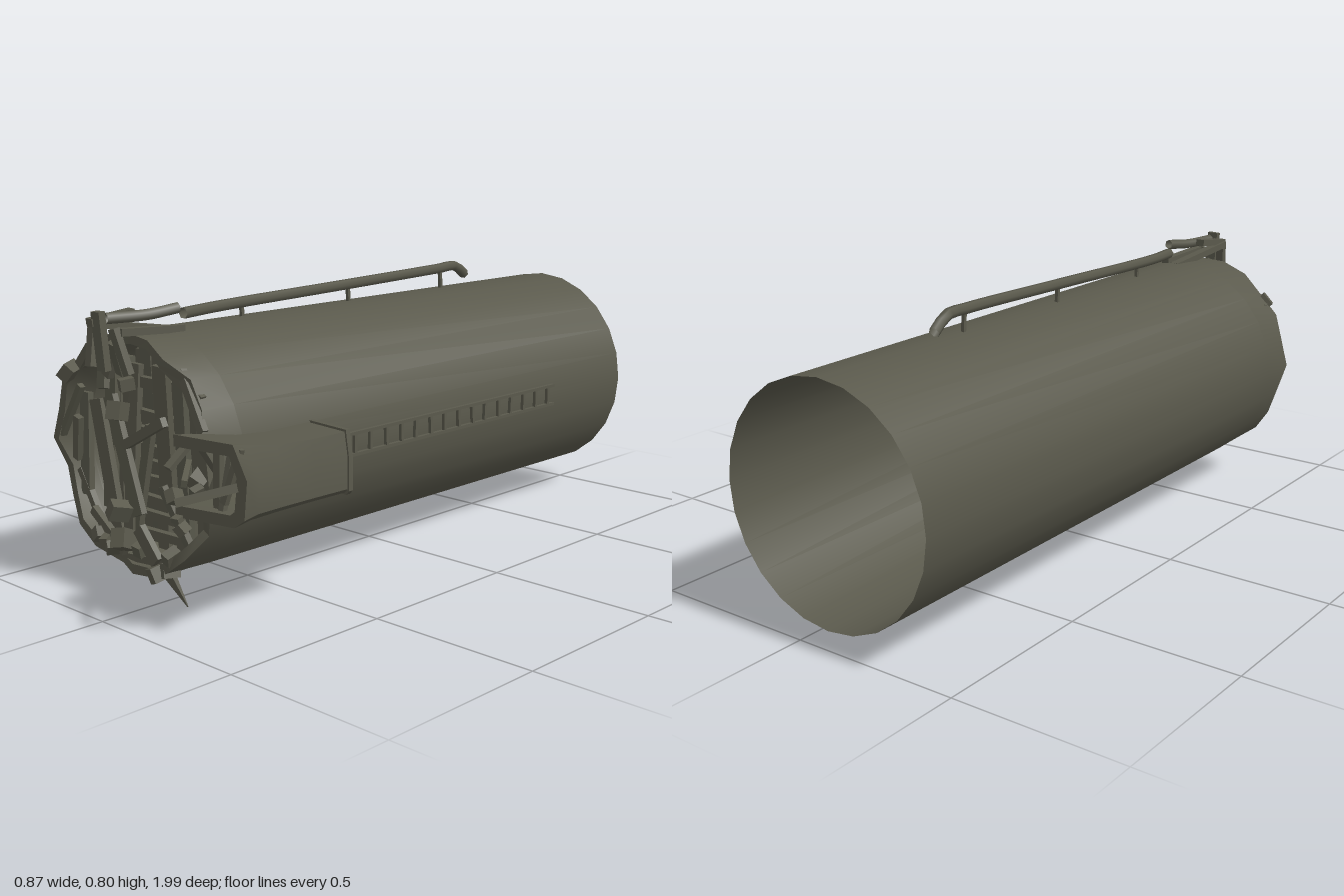
import * as THREE from 'three';
import { toCreasedNormals } from 'three/addons/utils/BufferGeometryUtils.js';

const CX = -0.102, CY = 0.388, R = 0.332;
const V = (x, y, z) => new THREE.Vector3(x, y, z);

export function createModel() {
  const model = new THREE.Group();
  const metal = new THREE.MeshStandardMaterial({ color: 0x5a594c, side: THREE.DoubleSide });
  metal.name = 'weatheredMetal';

  let seed = 7;
  const rnd = (a, b) => {
    seed = (seed * 16807) % 2147483647;
    return a + (b - a) * (seed / 2147483647);
  };

  function add(geometry, name, parent = model) {
    const mesh = new THREE.Mesh(geometry, metal);
    mesh.name = name;
    parent.add(mesh);
    return mesh;
  }

  function group(name) {
    const g = new THREE.Group();
    g.name = name;
    model.add(g);
    return g;
  }

  // Skin through closed rings of points; channel caps join outer and inner halves
  function loft(rings, capped) {
    const pos = [], idx = [], n = rings[0].length;
    rings.forEach(r => r.forEach(p => pos.push(p.x, p.y, p.z)));
    const quad = (a, b, c, d) => idx.push(a, b, c, a, c, d);
    for (let i = 0; i < rings.length - 1; i++)
      for (let j = 0; j < n; j++) {
        const k = (j + 1) % n;
        quad(i * n + j, i * n + k, (i + 1) * n + k, (i + 1) * n + j);
      }
    if (capped) for (let j = 0; j < n / 2 - 1; j++) {
      const f = (rings.length - 1) * n;
      quad(f + j, f + j + 1, f + n - 2 - j, f + n - 1 - j);
      quad(n - 1 - j, n - 2 - j, j + 1, j);
    }
    const g = new THREE.BufferGeometry();
    g.setAttribute('position', new THREE.Float32BufferAttribute(pos, 3));
    g.setIndex(idx);
    return toCreasedNormals(g, 0.6);
  }

  // Box beam from a to b: w across the front plane, t in depth, taper narrows the far end
  function bar(a, b, w, t, name, parent, taper = 1) {
    const dir = b.clone().sub(a), len = dir.length();
    dir.normalize();
    const ref = Math.abs(dir.z) > 0.9 ? V(0, 1, 0) : V(0, 0, 1);
    const side = dir.clone().cross(ref).normalize();
    const depth = side.clone().cross(dir);
    const g = new THREE.BoxGeometry(w, len, t);
    const p = g.attributes.position;
    for (let i = 0; i < p.count; i++)
      if (p.getY(i) > 0) p.setXYZ(i, p.getX(i) * taper, p.getY(i), p.getZ(i) * taper);
    g.computeVertexNormals();
    g.applyMatrix4(new THREE.Matrix4().makeBasis(side, dir, depth));
    g.translate((a.x + b.x) / 2, (a.y + b.y) / 2, (a.z + b.z) / 2);
    return add(g, name, parent);
  }

  // Main hull: open at the back, torn thick lip at the front
  const N = 24;
  const torn = Array.from({ length: N }, () => rnd(0.785, 0.84));
  const ring = (r, z, wobble = 0) => torn.map((edge, i) => {
    const a = i / N * Math.PI * 2;
    const rr = r + wobble * Math.sin(i * 2.7);
    return V(CX + rr * Math.cos(a), CY + rr * Math.sin(a), z === null ? edge : z);
  });
  add(loft([ring(R, -1), ring(R, 0.7), ring(R - 0.002, null, 0.004),
    ring(R - 0.028, null, 0.006), ring(R - 0.024, 0.72)]), 'hull');

  // Wreckage plugging the front: backing layer of upright beams
  const debris = group('frontDebris');
  for (let x = -0.355; x < 0.16; x += 0.047) {
    const h = Math.sqrt(0.3 ** 2 - (x - CX) ** 2) * 0.97;
    const s = rnd(-0.012, 0.012);
    bar(V(x - s, CY - h, rnd(0.66, 0.7)), V(x + s, CY + h * 0.96, rnd(0.66, 0.7)), 0.046, 0.02, 'backBeam', debris);
  }
  // Cross rungs
  for (const y of [0.15, 0.2, 0.24, 0.3, 0.34, 0.38, 0.43, 0.47, 0.57])
    bar(V(-0.18, y + rnd(-0.01, 0.02), 0.73), V(0.02, y, 0.72), rnd(0.018, 0.035), 0.02, 'crossBeam', debris);
  // Front planks: x0, y0, x1, y1, width, depth position
  [
    [-0.23, 0.53, -0.1, 0.22, 0.045, 0.79], [-0.3, 0.51, -0.22, 0.15, 0.05, 0.78],
    [-0.36, 0.52, -0.35, 0.23, 0.04, 0.77], [0, 0.64, -0.02, 0.28, 0.055, 0.77],
    [0.06, 0.63, 0.04, 0.16, 0.04, 0.76], [0.11, 0.59, 0.13, 0.22, 0.035, 0.77],
    [-0.17, 0.62, -0.18, 0.11, 0.04, 0.75], [-0.27, 0.6, -0.28, 0.2, 0.045, 0.75],
    [-0.1, 0.46, -0.17, 0.12, 0.03, 0.76], [0.03, 0.5, -0.17, 0.4, 0.026, 0.8],
    [-0.06, 0.2, 0.01, 0.12, 0.04, 0.81], [0.16, 0.48, 0.18, 0.3, 0.035, 0.77],
    [-0.41, 0.4, -0.32, 0.55, 0.018, 0.8], [-0.36, 0.58, -0.23, 0.67, 0.02, 0.81],
    [0.02, 0.65, 0.16, 0.57, 0.03, 0.8], [0.09, 0.64, 0.2, 0.5, 0.025, 0.81],
    [-0.18, 0.09, 0.06, 0.12, 0.02, 0.8], [-0.3, 0.2, -0.15, 0.11, 0.025, 0.8],
    [-0.22, 0.66, -0.2, 0.56, 0.035, 0.81], [-0.38, 0.3, -0.27, 0.14, 0.02, 0.79],
    [0.03, 0.33, 0.1, 0.17, 0.022, 0.8], [-0.34, 0.46, -0.38, 0.33, 0.025, 0.81],
  ].forEach(([x0, y0, x1, y1, w, z]) =>
    bar(V(x0, y0, z + rnd(-0.02, 0.02)), V(x1, y1, z + rnd(-0.02, 0.02)), w, 0.018, 'plank', debris));
  // Loose chunks around the rim
  [
    [-0.34, 0.59, 0.03], [-0.13, 0.51, 0.033], [-0.15, 0.23, 0.032], [-0.14, 0.15, 0.036],
    [-0.18, 0.12, 0.022], [0.1, 0.32, 0.024], [0.16, 0.37, 0.028], [0.19, 0.35, 0.018],
    [0.07, 0.15, 0.024], [-0.07, 0.14, 0.024], [0.01, 0.09, 0.028], [-0.25, 0.14, 0.024],
    [0.13, 0.24, 0.02], [-0.12, 0.58, 0.022], [-0.22, 0.13, 0.02], [0.04, 0.1, 0.026],
  ].forEach(([x, y, s]) => {
    const m = add(new THREE.BoxGeometry(s * 1.2, s * 1.5, s * 1.8), 'chunk', debris);
    m.position.set(x, y, rnd(0.8, 0.835));
    m.rotation.set(rnd(-0.5, 0.5), rnd(-0.5, 0.5), rnd(-0.8, 0.8));
  });
  // Hanging spike below the rim
  bar(V(0.02, 0.11, 0.81), V(0.079, 0.002, 0.782), 0.042, 0.02, 'hangingSpike', debris, 0.08);

  // Long roof pipe, its posts and the broken-off front end
  const roof = group('roofPipe');
  const pipe = (pts, r, name) => add(new THREE.TubeGeometry(
    new THREE.CatmullRomCurve3(pts, false, 'centripetal'), 32, r, 6), name, roof);
  pipe([V(-0.13, 0.75, -0.6), V(-0.122, 0.783, -0.54), V(-0.112, 0.782, -0.45), V(-0.108, 0.77, 0),
    V(-0.106, 0.757, 0.5), V(-0.088, 0.754, 0.635)], 0.016, 'longPipe');
  pipe([V(-0.065, 0.775, 0.67), V(-0.08, 0.765, 0.76), V(-0.1, 0.765, 0.88)], 0.015, 'brokenPipe');
  for (const z of [0.41, -0.02, -0.45])
    bar(V(-0.108, 0.705, z - 0.005), V(-0.108, 0.77, z), 0.01, 0.01, 'pipePost', roof);
  [
    [-0.105, 0.785, 0.9, -0.1, 0.63, 0.89, 0.035], [-0.14, 0.74, 0.89, -0.13, 0.64, 0.91, 0.025],
    [-0.08, 0.74, 0.87, -0.05, 0.62, 0.85, 0.025], [-0.12, 0.7, 0.83, -0.17, 0.6, 0.83, 0.03],
    [-0.14, 0.75, 0.9, -0.1, 0.71, 0.65, 0.028], [-0.07, 0.73, 0.86, -0.06, 0.72, 0.66, 0.025],
    [-0.12, 0.77, 0.78, -0.13, 0.755, 0.91, 0.03], [-0.1, 0.7, 0.86, -0.12, 0.61, 0.82, 0.03],
  ].forEach(([a, b, c, d, e, f, w]) => bar(V(a, b, c), V(d, e, f), w, 0.02, 'roofShard', roof));

  // Ladder along the left flank
  const ladder = group('sideLadder');
  for (const y of [0.36, 0.42])
    bar(V(0.238, y, -0.61), V(0.238, y, 0.46), 0.012, 0.009, 'ladderRail', ladder);
  for (let i = 0; i < 17; i++) {
    const z = -0.58 + i * 0.0635;
    bar(V(0.238, 0.36, z + rnd(-0.006, 0.006)), V(0.238, 0.42, z), 0.01, 0.01, 'ladderRung', ladder);
  }

  // Side duct: an open channel that flares toward the front
  const duct = group('sideDuct');
  const channel = (z, xo, yb, yt, flare, t = 0.026, skew = 0) => {
    const lean = 0.012 + 0.03 * flare;
    const shape = d => [[0.205, yb + d], [xo - lean - d * 0.4, yb + d + 0.004 * flare],
      [xo - 0.01 * flare - d, yb + 0.012 + 0.015 * flare + d * 0.6],
      [xo - d, yb + (yt - yb) * 0.6], [xo - lean - d * 0.4, yt - d], [0.205, yt - d]];
    return [...shape(0), ...shape(t).reverse()].map(([x, y]) => V(x, y, z + skew * (x - 0.2)));
  };
  add(loft([
    channel(0.45, 0.374, 0.308, 0.472, 0, 0.02, 0.1), channel(0.6, 0.376, 0.308, 0.472, 0.1),
    channel(0.72, 0.39, 0.308, 0.482, 0.4), channel(0.82, 0.412, 0.308, 0.5, 0.8),
    channel(0.915, 0.434, 0.305, 0.515, 1, 0.03, -0.15)], true), 'ductShell', duct);
  add(loft([channel(0.445, 0.379, 0.303, 0.478, 0, 0.024, 0.1),
    channel(0.46, 0.379, 0.303, 0.478, 0, 0.024, 0.1)], true), 'ductFlange', duct);
  // Struts and splinters in the duct mouth
  [
    [0.31, 0.5, 0.86, 0.305, 0.33, 0.86, 0.024], [0.35, 0.5, 0.84, 0.4, 0.33, 0.86, 0.024],
    [0.39, 0.5, 0.86, 0.35, 0.36, 0.88, 0.018], [0.4, 0.41, 0.88, 0.3, 0.375, 0.99, 0.022],
    [0.22, 0.44, 0.88, 0.31, 0.42, 0.97, 0.018], [0.33, 0.5, 0.83, 0.33, 0.33, 0.87, 0.018],
    [0.21, 0.5, 0.85, 0.2, 0.43, 0.93, 0.022], [0.2, 0.34, 0.8, 0.22, 0.3, 0.93, 0.025],
  ].forEach(([a, b, c, d, e, f, w]) => bar(V(a, b, c), V(d, e, f), w, 0.014, 'ductStrut', duct));

  return model;
}
